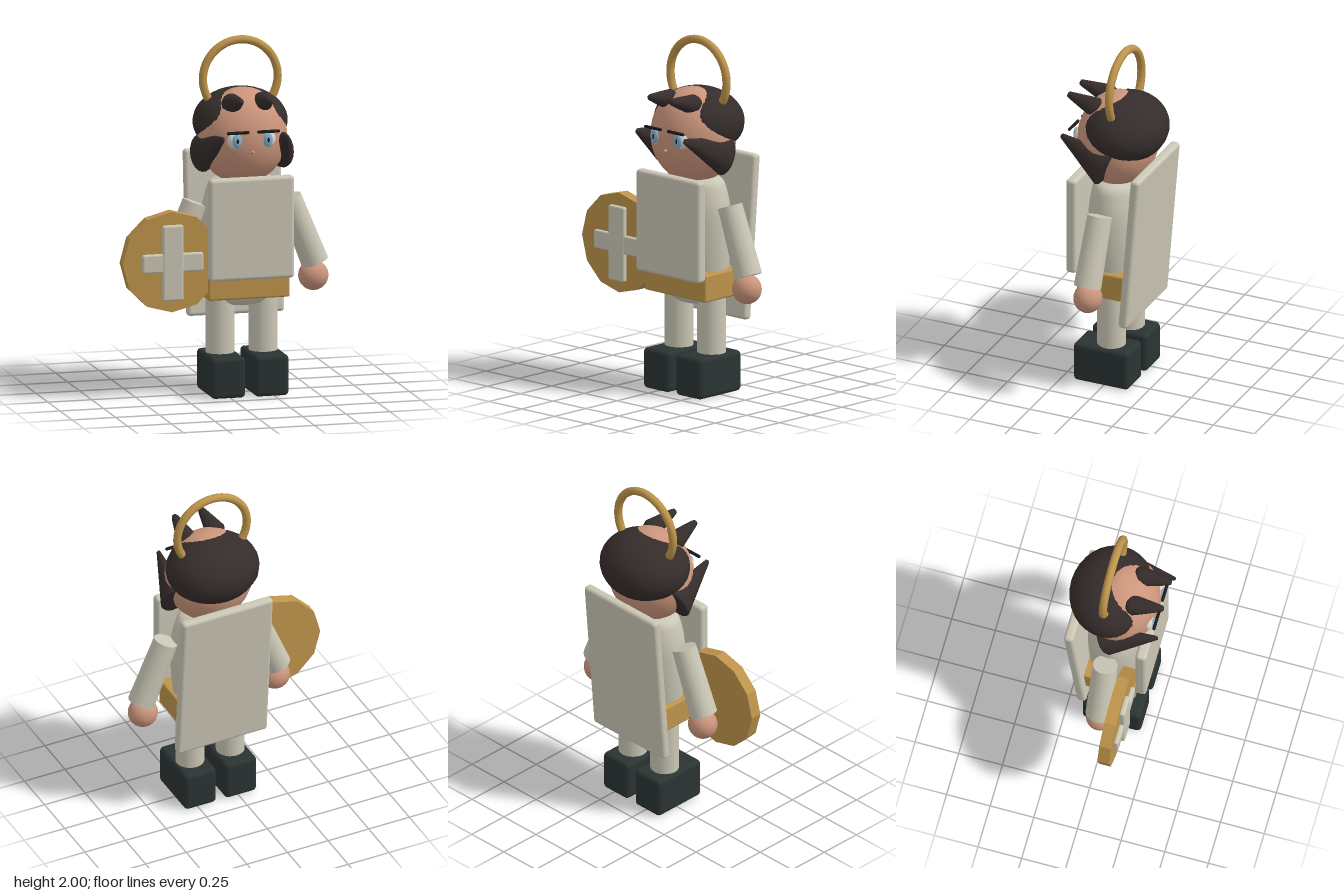
import * as THREE from 'three';
import { RoundedBoxGeometry } from 'three/addons/geometries/RoundedBoxGeometry.js';

const CX = 0.11; // body axis; the shield on the right arm pushes the body off centre
const mat = (color, flatShading = false) => new THREE.MeshStandardMaterial({ color, flatShading });
const cloth = mat(0xcbc7b6), skin = mat(0xcc957c), gold = mat(0xbe944b), goldFlat = mat(0xbe944b, true);
const hair = mat(0x352d2b), boot = mat(0x2b3333), white = mat(0xd8d4cc), blue = mat(0x7fb2cf), dark = mat(0x1c1a1a);

export function createModel() {
  const root = new THREE.Group();

  const add = (name, geo, material, x, y, z) => {
    const m = new THREE.Mesh(geo, material);
    m.name = name;
    m.position.set(x, y, z);
    root.add(m);
    return m;
  };
  const ball = (name, material, x, y, z, rx, ry, rz) => {
    const m = add(name, new THREE.SphereGeometry(1, 32, 24), material, x, y, z);
    m.scale.set(rx, ry, rz);
    return m;
  };
  const slab = (name, material, w, h, d, r, x, y, z) =>
    add(name, new RoundedBoxGeometry(w, h, d, 3, r), material, x, y, z);
  // Turned part whose axis runs from a to b
  const between = (name, geo, material, a, b) => {
    const m = add(name, geo, material, ...a);
    const dir = new THREE.Vector3(...b).sub(m.position).normalize();
    m.quaternion.setFromUnitVectors(new THREE.Vector3(0, 1, 0), dir);
    return m;
  };
  const lathe = (pts, seg) =>
    new THREE.LatheGeometry(pts.map(([r, y]) => new THREE.Vector2(r, y)), seg);

  // Torso: rounded barrel, wider than deep
  const profile = new THREE.SplineCurve([[0, 0.49], [0.09, 0.51], [0.14, 0.6], [0.16, 0.8],
    [0.163, 1.0], [0.148, 1.13], [0.115, 1.21], [0, 1.24]].map(p => new THREE.Vector2(...p)));
  const torso = add('torso', new THREE.LatheGeometry(profile.getPoints(32), 32), cloth, CX, 0, -0.005);
  torso.scale.x = 1.4;

  // Plates and belt
  slab('chestPlate', cloth, 0.485, 0.575, 0.062, 0.02, CX, 0.957, 0.187);
  slab('backPlate', cloth, 0.555, 0.93, 0.055, 0.02, CX, 0.875, -0.18).rotation.x = -0.083;
  slab('belt', gold, 0.467, 0.155, 0.305, 0.012, CX, 0.628, 0.003);

  // Head and hair cap
  ball('head', skin, CX, 1.445, 0.005, 0.25, 0.27, 0.225);
  ball('hairCap', hair, CX, 1.52, -0.04, 0.265, 0.19, 0.236);
  between('nose', new THREE.ConeGeometry(0.018, 0.04, 12), skin, [CX, 1.39, 0.228], [CX, 1.385, 1]);

  // Halo
  add('halo', new THREE.TorusGeometry(0.214, 0.023, 16, 48), gold, CX, 1.763, -0.035);

  // Hair lock: teardrop with a blunt tip
  const lock = (r, len) => lathe([[0, 0], [r * 0.8, 0.012], [r, len * 0.18], [r * 0.8, len * 0.42],
    [0.02, len * 0.92], [0.014, len * 0.98], [0, len]], 16);

  for (const s of [-1, 1]) {
    const X = d => CX + s * d;

    // Eyes and brows
    ball('eye', white, X(0.088), 1.455, 0.195, 0.05, 0.05, 0.033);
    ball('iris', blue, X(0.088), 1.458, 0.222, 0.027, 0.04, 0.013);
    ball('pupil', dark, X(0.088), 1.458, 0.232, 0.008, 0.015, 0.005);
    const brow = add('brow', new THREE.CapsuleGeometry(0.009, 0.112, 4, 10), dark, X(0.087), 1.507, 0.238);
    brow.rotation.z = Math.PI / 2;

    // Forehead locks
    between('foreheadLock', lock(0.058, 0.22), hair, [X(0.09), 1.635, 0.065], [X(0.08), 1.69, 0.276]);

    // Side locks: broad cones, thin across the head
    const curl = between('sideLock', lathe([[0, 0], [0.1, 0], [0.11, 0.012], [0.022, 0.3], [0.015, 0.322], [0, 0.33]], 20),
      hair, [X(0.226), 1.35, -0.025], [X(0.18), 1.483, 0.272]);
    curl.scale.x = 0.66;

    // Arms and hands
    const shoulder = new THREE.Vector3(X(0.27), 1.08, -0.005);
    const wrist = new THREE.Vector3(X(0.417), 0.708, 0.002);
    const arm = new THREE.CylinderGeometry(0.069, 0.077, shoulder.distanceTo(wrist), 24);
    const mid = shoulder.clone().lerp(wrist, 0.5);
    between('arm', arm, cloth, mid.toArray(), shoulder.toArray());
    ball('hand', skin, X(0.407), 0.635, 0.004, 0.084, 0.084, 0.08);

    // Legs and boots
    add('leg', new THREE.CylinderGeometry(0.08, 0.08, 0.44, 24), cloth, X(0.124), 0.42, -0.01);
    slab('boot', boot, 0.195, 0.23, 0.335, 0.025, X(0.124), 0.115, 0.015);
  }

  // Shield with its raised cross
  const shield = add('shield', new THREE.CylinderGeometry(0.283, 0.283, 0.066, 12), goldFlat, -0.328, 0.78, 0.108);
  shield.rotation.x = Math.PI / 2;
  slab('shieldCrossUpright', cloth, 0.12, 0.425, 0.034, 0.012, -0.328, 0.778, 0.152);
  slab('shieldCrossBar', cloth, 0.35, 0.106, 0.03, 0.012, -0.328, 0.778, 0.15);

  return root;
}
